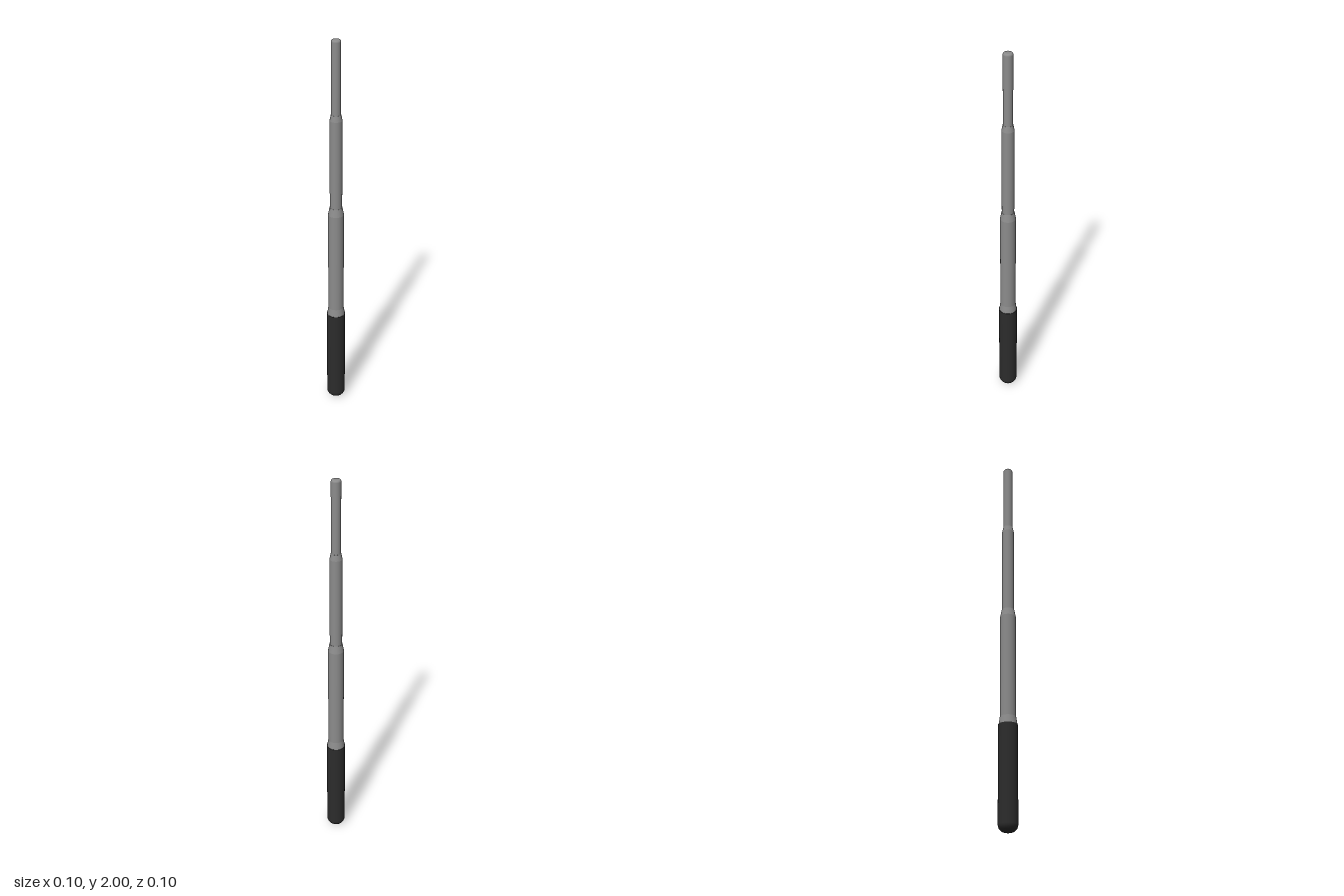
import * as THREE from 'three';

const SIDES = 32;

// Turns a [radius, height] profile, listed from bottom to top, about the y axis
function turned(name, profile, material) {
  const points = profile.map(([r, y]) => new THREE.Vector2(r, y));
  const mesh = new THREE.Mesh(new THREE.LatheGeometry(points, SIDES), material);
  mesh.name = name;
  return mesh;
}

// Quarter-round edge between a flat end and a side wall
function roundedEdge(radius, fillet, centreY, from, to, steps = 6) {
  return Array.from({ length: steps + 1 }, (_, i) => {
    const a = from + ((to - from) * i) / steps;
    return [radius - fillet + fillet * Math.cos(a), centreY + fillet * Math.sin(a)];
  });
}

export function createModel() {
  const model = new THREE.Group();
  model.name = 'telescopicBaton';
  const metal = new THREE.MeshStandardMaterial({ color: 0x8c8c8c });
  const rubber = new THREE.MeshStandardMaterial({ color: 0x2c2c2c });

  // Grip with a rounded butt and a flat upper rim
  model.add(turned('grip', [
    [0, 0],
    ...roundedEdge(0.048, 0.036, 0.036, -Math.PI / 2, 0),
    [0.048, 0.525],
  ], rubber));
  model.add(turned('gripRim', [[0.048, 0.525], [0.038, 0.525]], rubber));

  // Telescoping tubes, each with a tapered collar at the joint
  const sections = [
    ['lowerCollar', 0.046, 0.525, 0.04, 0.565],
    ['lowerTube', 0.04, 0.565, 0.04, 1.105],
    ['middleCollar', 0.04, 1.105, 0.032, 1.145],
    ['middleTube', 0.031, 1.145, 0.031, 1.605],
    ['upperCollar', 0.031, 1.605, 0.025, 1.635],
    ['upperTube', 0.024, 1.635, 0.024, 1.99],
  ];
  for (const [name, r0, y0, r1, y1] of sections) {
    model.add(turned(name, [[r0, y0], [r1, y1]], metal));
  }

  // Small ledges where a collar stands proud of the next tube
  model.add(turned('middleLedge', [[0.032, 1.145], [0.031, 1.145]], metal));
  model.add(turned('upperLedge', [[0.025, 1.635], [0.024, 1.635]], metal));

  // Softly rounded tip
  model.add(turned('tip', [
    ...roundedEdge(0.024, 0.01, 1.99, 0, Math.PI / 2),
    [0, 2],
  ], metal));

  return model;
}
